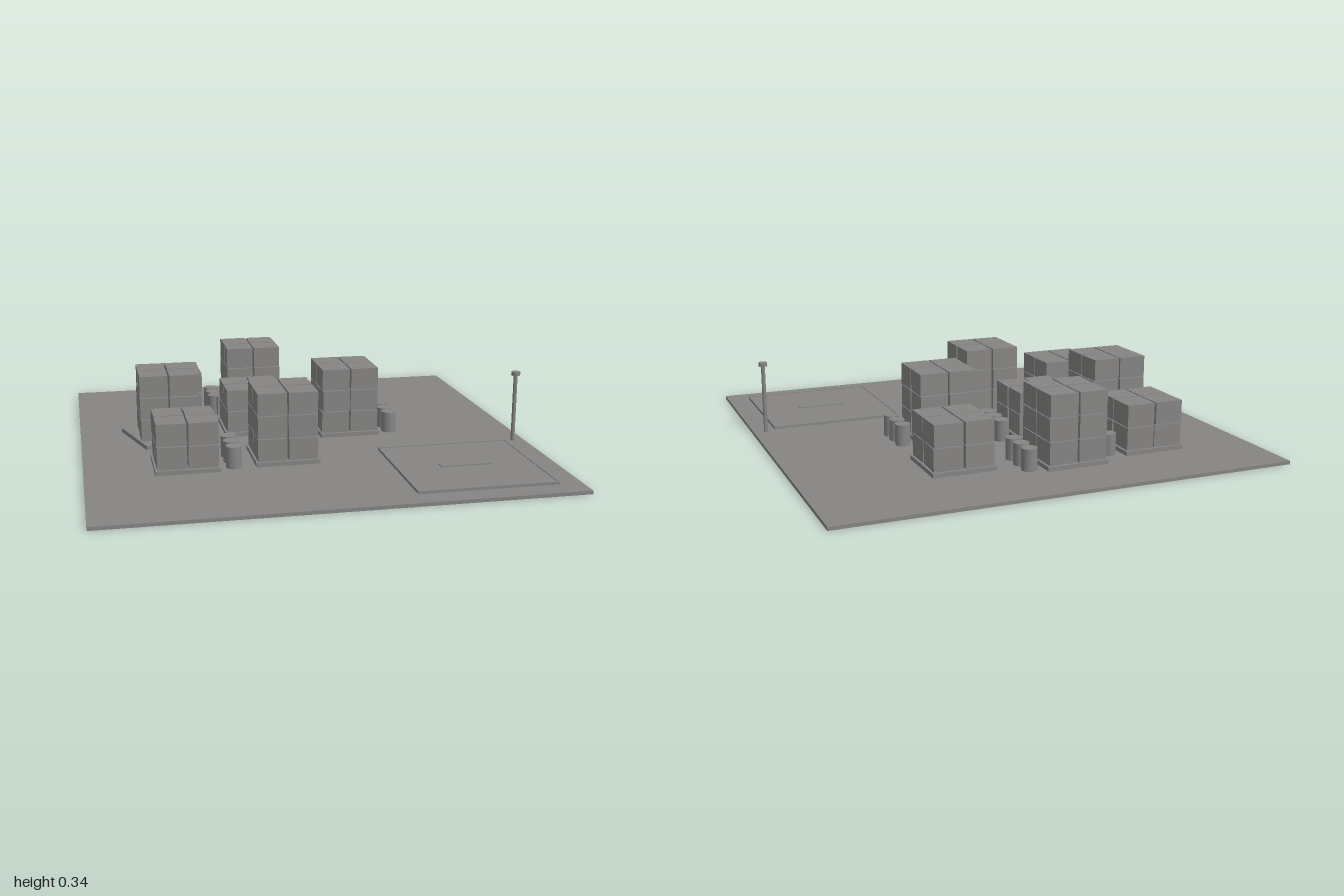
import * as THREE from 'three';

export function createModel() {
  const model = new THREE.Group();
  const grey = new THREE.MeshStandardMaterial({ color: 0x868584 });
  grey.name = 'warm grey';

  let seed = 7;
  const jitter = (range) => {
    seed = (seed * 16807) % 2147483647;
    return (seed / 2147483647 - 0.5) * 2 * range;
  };

  // Adds a mesh that stands on height y
  const add = (parent, name, geometry, height, x, y, z, turn = 0) => {
    const mesh = new THREE.Mesh(geometry, grey);
    mesh.name = name;
    mesh.position.set(x, y + height / 2, z);
    mesh.rotation.y = turn;
    parent.add(mesh);
    return mesh;
  };
  const box = (parent, name, w, h, d, x, y, z, turn) =>
    add(parent, name, new THREE.BoxGeometry(w, h, d), h, x, y, z, turn);
  const cylinder = (parent, name, r, h, x, y, z, sides = 24) =>
    add(parent, name, new THREE.CylinderGeometry(r, r, h, sides), h, x, y, z);

  const floor = 0.015;
  box(model, 'ground', 2, floor, 2, 0, 0, 0);

  // Stacks: x, z, layers, has drums, pallet size, pallet turn
  const stacks = [
    [-0.535, -0.54, 2, true, 0.278, 0],
    [-0.135, -0.605, 3, true, 0.278, 0],
    [0.33, -0.505, 2, false, 0.278, 0],
    [-0.602, -0.105, 3, false, 0.332, 0.29],
    [-0.2, -0.17, 2, true, 0.278, 0],
    [0.23, -0.07, 3, true, 0.278, 0],
    [-0.567, 0.33, 2, true, 0.278, 0],
    [-0.135, 0.3, 3, false, 0.278, 0],
  ];
  for (const [x, z, layers, drums, size, turn] of stacks) {
    const stack = new THREE.Group();
    stack.name = 'cargoStack';
    stack.position.set(x, 0, z);
    model.add(stack);
    box(stack, 'pallet', size, 0.019, size, 0, floor, 0, turn);

    // Two by two crates per layer, each slightly askew
    for (let layer = 0; layer < layers; layer++) {
      for (const sx of [-1, 1]) {
        for (const sz of [-1, 1]) {
          box(stack, 'crate', 0.127, 0.097, 0.127,
            sx * 0.067, 0.036 + layer * 0.1005, sz * 0.067, jitter(0.035));
        }
      }
    }

    // Row of drums beside the stack
    if (drums) {
      for (const dz of [-0.08, 0, 0.08]) cylinder(stack, 'drum', 0.034, 0.095, 0.199, floor, dz);
    }
  }

  // Loose crate between two stacks
  box(model, 'looseCrate', 0.075, 0.094, 0.1, -0.303, floor, -0.468, 0.27);

  // Landing pad with raised border strips and a centre marking
  const pad = new THREE.Group();
  pad.name = 'landingPad';
  pad.position.set(0.6, 0, 0.6);
  model.add(pad);
  box(pad, 'padSlab', 0.6, 0.009, 0.6, 0, floor, 0);
  for (const s of [-1, 1]) {
    box(pad, 'padBorder', 0.6, 0.012, 0.008, 0, floor, s * 0.297);
    box(pad, 'padBorder', 0.008, 0.012, 0.57, s * 0.297, floor, 0);
  }
  box(pad, 'padMarking', 0.22, 0.005, 0.04, 0, 0.024, 0);

  // Lamp post
  const lamp = new THREE.Group();
  lamp.name = 'lampPost';
  lamp.position.set(0.945, 0, 0.28);
  model.add(lamp);
  cylinder(lamp, 'post', 0.009, 0.31, 0, floor, 0, 12);
  cylinder(lamp, 'lampHead', 0.02, 0.017, 0, 0.323, 0, 16);

  return model;
}
